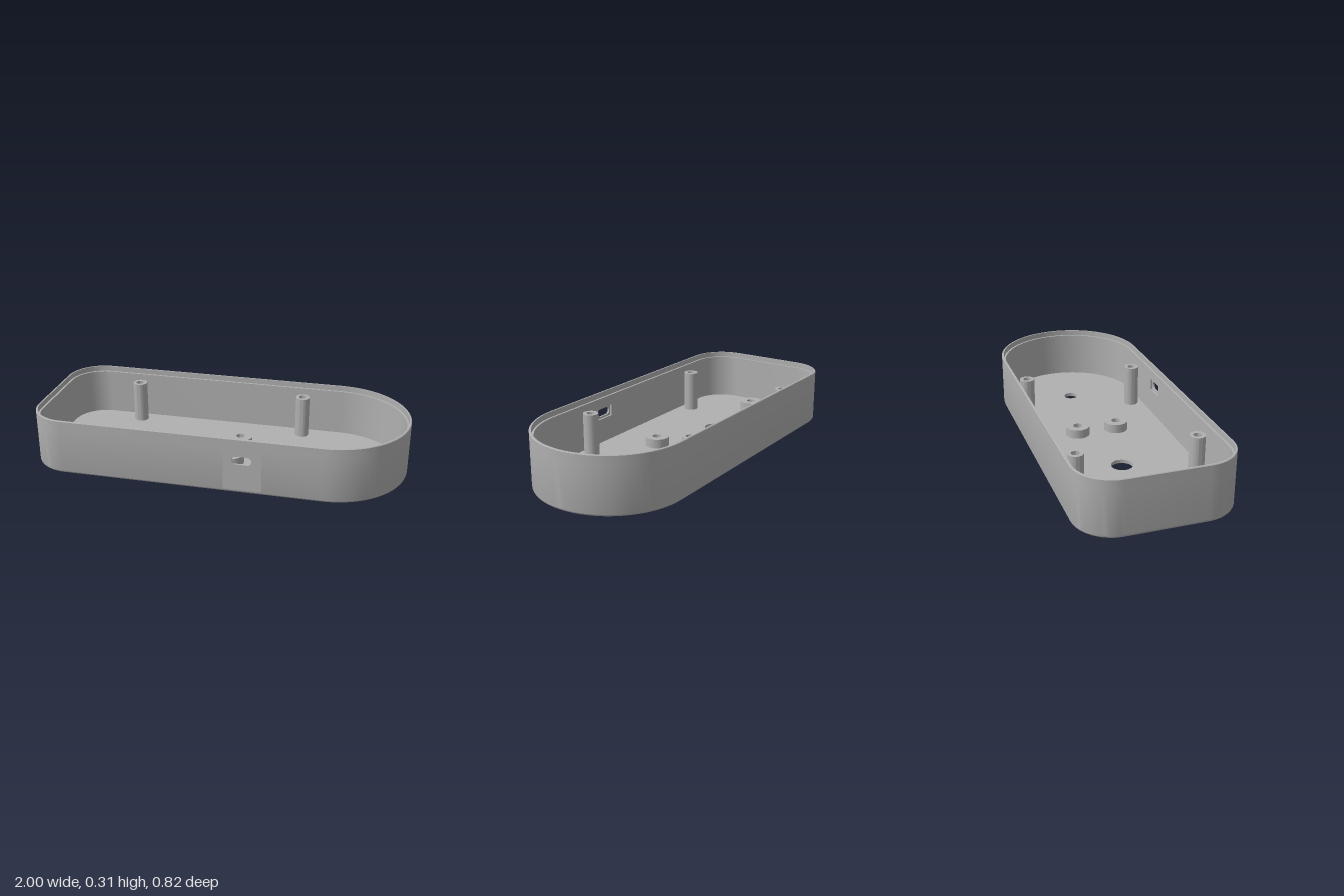
import * as THREE from 'three';
import { toCreasedNormals } from 'three/addons/utils/BufferGeometryUtils.js';

const HALF = 0.41, FLOOR = 0.02, WALL = 0.022, SLOT_TOP = 0.26;
const WIN = [0.28, 0.08]; // front wall span that holds the port

// Plan outline: each entry is an arc centre, radius and direction, so it can be offset inward
function planOutline() {
  const out = [];
  const arc = (cx, cz, r, a0, a1, n) => {
    for (let i = 0; i <= n; i++) {
      const a = a0 + (a1 - a0) * i / n;
      out.push({ cx, cz, r, nx: Math.cos(a), nz: Math.sin(a) });
    }
  };
  const q = Math.PI / 2;
  arc(0.59, 0, HALF, -q, q, 40);
  const windowIndex = out.length;
  WIN.forEach(x => out.push({ cx: x, cz: 0, r: HALF, nx: 0, nz: 1 }));
  arc(-0.8, HALF - 0.2, 0.2, q, 2 * q, 14);
  arc(-0.8, 0.2 - HALF, 0.2, 2 * q, 3 * q, 14);
  return { out, windowIndex };
}
const at = (p, d) => [p.cx + (p.r - d) * p.nx, p.cz + (p.r - d) * p.nz];

// Wall: sweeps [inset, height] points round the outline, leaving the port panel open
function wallGeometry({ out, windowIndex }) {
  const profile = [];
  for (let i = 0; i <= 6; i++) {
    const a = i / 6 * Math.PI / 2;
    profile.push([0.02 - 0.02 * Math.sin(a), 0.02 - 0.02 * Math.cos(a)]);
  }
  const outerSeg = profile.length - 1;
  profile.push([0, SLOT_TOP], [0, 0.304], [0.003, 0.307], [0.011, 0.307],
    [0.011, 0.277], [WALL, 0.277], [WALL, SLOT_TOP], [WALL, FLOOR]);
  const innerSeg = profile.length - 2;
  const pos = [];
  out.forEach((p, i) => {
    const next = out[(i + 1) % out.length];
    for (let j = 0; j < profile.length - 1; j++) {
      if (i === windowIndex && (j === outerSeg || j === innerSeg)) continue;
      const v = (o, [d, y]) => { const [x, z] = at(o, d); return [x, y, z]; };
      const a = v(p, profile[j]), b = v(p, profile[j + 1]);
      const c = v(next, profile[j + 1]), e = v(next, profile[j]);
      pos.push(...a, ...b, ...c, ...a, ...c, ...e);
    }
  });
  const g = new THREE.BufferGeometry();
  g.setAttribute('position', new THREE.Float32BufferAttribute(pos, 3));
  return toCreasedNormals(g, 0.5);
}

function extrude(shape, depth) {
  const g = new THREE.ExtrudeGeometry(shape, { depth, bevelEnabled: false, curveSegments: 32 });
  return toCreasedNormals(g, 0.5);
}
const circle = (x, y, r) => new THREE.Path().absarc(x, y, r, 0, Math.PI * 2, true);

// Upright tube standing on the floor
function tube(r, hole, top) {
  const s = new THREE.Shape().absarc(0, 0, r, 0, Math.PI * 2, false);
  s.holes.push(circle(0, 0, hole));
  return extrude(s, top - FLOOR).rotateX(-Math.PI / 2);
}

// Port panel layer with a hole
function panel(hole, depth, z) {
  const s = new THREE.Shape([[WIN[1], FLOOR], [WIN[0], FLOOR], [WIN[0], SLOT_TOP], [WIN[1], SLOT_TOP]]
    .map(([x, y]) => new THREE.Vector2(x, y)));
  s.holes.push(hole);
  return extrude(s, depth).translate(0, 0, z);
}

export function createModel() {
  const group = new THREE.Group();
  const grey = new THREE.MeshStandardMaterial({ color: 0xb0b0b0 });
  grey.name = 'grey plastic';
  const add = (name, geometry, x = 0, y = 0, z = 0) => {
    const m = new THREE.Mesh(geometry, grey);
    m.name = name;
    m.position.set(x, y, z);
    group.add(m);
  };

  const plan = planOutline();
  add('wall', wallGeometry(plan));

  // Floor plate with through holes
  const bosses = [[-0.8, 0], [0.062, -0.112], [0.062, 0.112]];
  const floor = new THREE.Shape(plan.out.map(p => new THREE.Vector2(...at(p, 0.02))));
  floor.holes.push(circle(-0.367, 0, 0.058), circle(0.588, 0, 0.04));
  bosses.forEach(([x, z]) => floor.holes.push(circle(x, -z, 0.025)));
  add('floor', extrude(floor, FLOOR).rotateX(-Math.PI / 2));

  // Low screw bosses and tall lid posts
  const bossGeo = tube(0.066, 0.025, 0.07);
  bosses.forEach(([x, z]) => add('screwBoss', bossGeo, x, FLOOR, z));
  const postGeo = tube(0.041, 0.022, 0.253);
  for (const x of [-0.595, 0.381])
    for (const z of [-0.319, 0.319]) add('lidPost', postGeo, x, FLOOR, z);

  // Rounded slot outside, larger rectangular recess inside
  const px = 0.176, py = 0.188, r = 0.022, h = 0.029;
  const slot = new THREE.Path();
  slot.absarc(px + h, py, r, -Math.PI / 2, Math.PI / 2, false);
  slot.absarc(px - h, py, r, Math.PI / 2, Math.PI * 1.5, false);
  slot.closePath();
  add('portOuterPanel', panel(slot, 0.011, HALF - 0.011));
  const recess = new THREE.Path([[-0.06, -0.032], [0.06, -0.032], [0.06, 0.032], [-0.06, 0.032]]
    .map(([x, y]) => new THREE.Vector2(px + x, py + y)));
  add('portInnerPanel', panel(recess, WALL - 0.011, HALF - WALL));

  return group;
}
